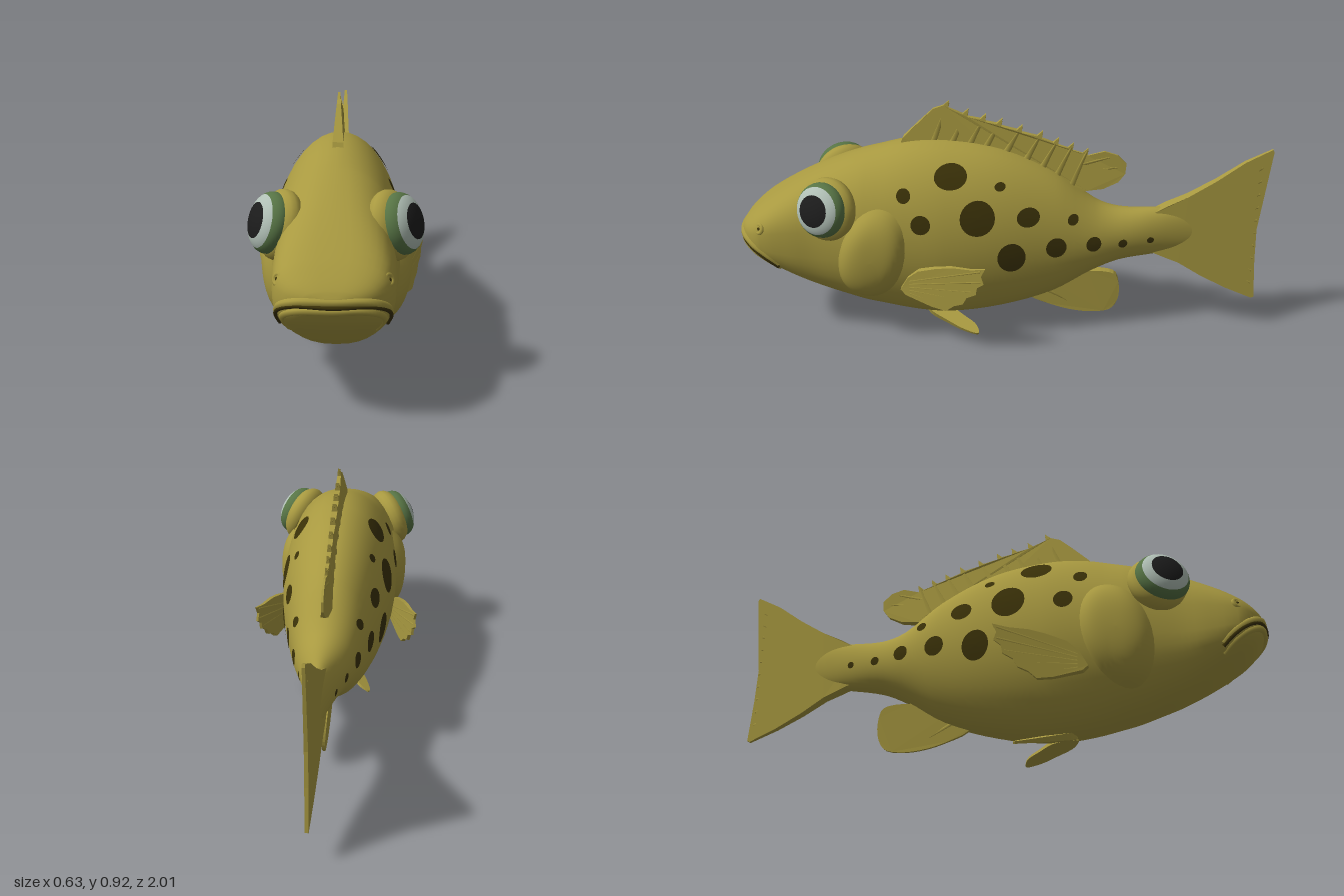
import * as THREE from 'three';

const mat = (name, color) => Object.assign(new THREE.MeshStandardMaterial({ color }), { name });
const V = (x, y, z) => new THREE.Vector3(x, y, z);
const lerp = THREE.MathUtils.lerp, clamp = THREE.MathUtils.clamp;

// Body stations from nose to tail: z, top y, bottom y, half width
const ST = [
  [1.0, .425, .395, .03], [.985, .45, .37, .095], [.95, .485, .33, .15], [.9, .525, .29, .182],
  [.8, .59, .225, .195], [.7, .645, .17, .198], [.6, .69, .13, .21], [.5, .725, .095, .225],
  [.35, .765, .06, .226], [.2, .772, .05, .222], [0, .74, .082, .196], [-.2, .65, .15, .152],
  [-.35, .535, .245, .113], [-.45, .505, .29, .083], [-.6, .51, .318, .045], [-.7, .5, .34, .024], [-.8, .45, .38, .006],
];
const slope = (i, k) => {
  const a = ST[Math.max(i - 1, 0)], b = ST[Math.min(i + 1, ST.length - 1)];
  return (b[k] - a[k]) / (b[0] - a[0]);
};
// Smooth cross-section at any z
function section(z) {
  z = clamp(z, -.8, 1);
  let i = 0;
  while (i < ST.length - 2 && z < ST[i + 1][0]) i++;
  const d = ST[i + 1][0] - ST[i][0], t = (z - ST[i][0]) / d, t2 = t * t, t3 = t2 * t;
  const [top, bot, w] = [1, 2, 3].map((k) => (2 * t3 - 3 * t2 + 1) * ST[i][k] + (t3 - 2 * t2 + t) * d * slope(i, k)
    + (3 * t2 - 2 * t3) * ST[i + 1][k] + (t3 - t2) * d * slope(i + 1, k));
  return { top, mid: (top + bot) / 2, h: (top - bot) / 2, w, n: lerp(2, 2.8, clamp((z - .45) / .4, 0, 1)) };
}
// Half width of the body skin, grown by `off`
function skinX(z, y, off = 0) {
  const s = section(z), q = Math.min(Math.abs(y - s.mid) / (s.h + off), 1);
  return (s.w + off) * Math.pow(1 - Math.pow(q, s.n), 1 / s.n);
}
function indexed(pos, idx) {
  const g = new THREE.BufferGeometry();
  g.setAttribute('position', new THREE.Float32BufferAttribute(pos, 3));
  g.setIndex(idx);
  g.computeVertexNormals();
  return g;
}
function bodyGeometry() {
  const N = 40, pos = [], idx = [], zs = [];
  for (let i = 0; i < ST.length - 1; i++) for (let j = 0; j < 4; j++) zs.push(lerp(ST[i][0], ST[i + 1][0], j / 4));
  zs.push(-.8);
  const pw = (v, n) => Math.sign(v) * Math.pow(Math.abs(v), 2 / n);
  zs.forEach((z, r) => {
    const s = section(z);
    for (let k = 0; k < N; k++) {
      const a = k / N * Math.PI * 2;
      pos.push(s.w * pw(Math.cos(a), s.n), s.mid + s.h * pw(Math.sin(a), s.n), z);
      const k2 = (k + 1) % N, A = r * N + k, B = r * N + k2;
      if (r < zs.length - 1) idx.push(A, A + N, B, B, A + N, B + N);
    }
  });
  const c = pos.length / 3, last = (zs.length - 1) * N;
  pos.push(0, .41, 1.002, 0, .415, -.8);
  for (let k = 0; k < N; k++) {
    const k2 = (k + 1) % N;
    idx.push(c, k, k2, c + 1, last + k2, last + k);
  }
  return indexed(pos, idx);
}
// Oval patch lying on the +x flank; lift(r) is its height above the skin
function patch(cz, cy, rz, ry, lift, shear = 0, rings = 3, N = 24) {
  const pos = [], idx = [];
  for (let r = 0; r <= rings; r++) for (let k = 0; k < N; k++) {
    const q = r / rings, a = k / N * Math.PI * 2, dy = Math.sin(a) * ry * q;
    const z = cz - Math.cos(a) * rz * q + shear * dy, y = cy + dy;
    pos.push(skinX(z, y, lift(q)), y, z);
    const A = r * N + k, B = r * N + (k + 1) % N;
    if (r < rings) idx.push(A, A + N, B, B, A + N, B + N);
  }
  return indexed(pos, idx);
}
// Thin blade from a (z, y) outline, with rules for half thickness and sideways offset
function blade(pts, half, offset = () => 0, smooth = false) {
  let v = pts.map((p) => new THREE.Vector2(p[0], p[1]));
  if (smooth) v = new THREE.CatmullRomCurve3(v.map((p) => V(p.x, p.y, 0)), true).getPoints(40).slice(0, -1).map((p) => new THREE.Vector2(p.x, p.y));
  const g = new THREE.ExtrudeGeometry(new THREE.Shape(v), { depth: 2, bevelEnabled: false });
  const p = g.attributes.position;
  for (let i = 0; i < p.count; i++) {
    const z = p.getX(i), y = p.getY(i);
    p.setXYZ(i, (1 - p.getZ(i)) * half(z, y) + offset(z, y), y, z);
  }
  g.computeVertexNormals();
  return g;
}
function rod(a, b, r0, r1) {
  const d = b.clone().sub(a), g = new THREE.CylinderGeometry(r1, r0, d.length(), 6);
  g.applyQuaternion(new THREE.Quaternion().setFromUnitVectors(V(0, 1, 0), d.normalize()));
  return g.translate((a.x + b.x) / 2, (a.y + b.y) / 2, (a.z + b.z) / 2);
}
function mirrored(geo) {
  const g = geo.clone().scale(-1, 1, 1);
  const idx = g.index ? Array.from(g.index.array) : Array.from({ length: g.attributes.position.count }, (_, i) => i);
  for (let i = 0; i < idx.length; i += 3) [idx[i], idx[i + 1]] = [idx[i + 1], idx[i]];
  g.setIndex(idx);
  return g;
}

export function createModel() {
  const root = new THREE.Group();
  root.name = 'fish';
  const olive = mat('olive skin', 0xa89940), dark = mat('dark spots', 0x3a3108);
  const white = mat('eye white', 0xb0bfb5), green = mat('eye green', 0x577445), black = mat('pupil black', 0x1c1c1c);
  const add = (name, geo, m) => {
    const mesh = new THREE.Mesh(geo, m);
    mesh.name = name;
    root.add(mesh);
  };
  const pair = (name, geo, m) => {
    add('left ' + name, geo, m);
    add('right ' + name, mirrored(geo), m);
  };

  add('body', bodyGeometry(), olive);

  // Flank spots: z, y, half length, half height
  [[.35, .617, .026, .026], [.18, .68, .06, .042], [.287, .515, .036, .036], [.08, .536, .064, .066], [0, .643, .02, .015],
    [-.105, .53, .042, .036], [-.27, .504, .02, .02], [-.045, .375, .052, .06], [-.21, .403, .038, .04], [-.35, .403, .028, .03],
    [-.46, .393, .017, .017], [-.565, .397, .013, .013]]
    .forEach((s) => pair('flank spot', patch(...s, () => .004), dark));

  // Gill cover
  pair('gill cover', patch(.475, .37, .125, .2, (q) => .034 * (1 - Math.pow(q, 5)) - .002, -.18, 10, 40), olive);

  // Mouth line and lips
  const mouth = (dy, out) => {
    const half = [[.975, .398], [.93, .372], [.88, .335], [.84, .298]].map(([z, y]) => V(skinX(z, y + dy, out), y + dy, z));
    const left = half.map((p) => V(-p.x, p.y, p.z)).reverse();
    return new THREE.CatmullRomCurve3([...left, V(0, .402 + dy, 1 + out), ...half]);
  };
  add('mouth line', new THREE.TubeGeometry(mouth(0, .003), 48, .007, 6), dark);
  add('upper lip', new THREE.TubeGeometry(mouth(.014, -.008), 48, .014, 8), olive);
  add('lower lip', new THREE.TubeGeometry(mouth(-.014, -.008), 48, .013, 8), olive);

  // Nostrils
  const nose = V(skinX(.9, .458) - .008, .458, .9);
  const noseTurn = new THREE.Quaternion().setFromUnitVectors(V(0, 0, 1), V(.72, .35, .6).normalize());
  pair('nostril rim', new THREE.TorusGeometry(.016, .008, 8, 16).applyQuaternion(noseTurn).translate(nose.x, nose.y, nose.z), olive);
  pair('nostril', new THREE.SphereGeometry(.009, 10, 8).translate(nose.x, nose.y, nose.z), dark);

  // Bulging eyes: socket, green ring, white ring, pupil
  const axis = V(.85, .28, .42).normalize(), eye = V(.213, .565, .648);
  const eyeTurn = new THREE.Quaternion().setFromUnitVectors(V(0, 1, 0), axis);
  const dome = (r, flat, from, to, sink) => {
    const c = eye.clone().addScaledVector(axis, -sink);
    return new THREE.SphereGeometry(r, 32, 12, 0, Math.PI * 2, from, to - from).scale(1, flat, 1).applyQuaternion(eyeTurn).translate(c.x, c.y, c.z);
  };
  pair('eye socket', dome(.118, .55, 0, Math.PI, .037), olive);
  pair('eye ring', dome(.102, .62, 1.04, 2.1, 0), green);
  pair('eye white', dome(.102, .62, .62, 1.04, 0), white);
  pair('pupil', dome(.102, .62, 0, .62, 0), black);

  // Dorsal fin: spiny saw edge, then a soft round lobe
  const tips = [[.195, .922], [.125, .89], [.06, .872], [0, .855], [-.075, .832], [-.15, .81], [-.21, .785], [-.265, .765], [-.32, .745]];
  const saw = tips.flatMap(([z, y]) => [[z + .022, y - .02], [z, y], [z + .003, y - .03]]);
  const dorsalHalf = (z, y) => clamp(.02 - (y - section(z).top) * .11, .004, .02);
  add('dorsal fin', blade([[.385, .74], [.37, .775], [.3, .845], [.255, .888], ...saw, [-.38, .733], [-.43, .718], [-.463, .685],
    [-.46, .645], [-.435, .612], [-.38, .585], [-.32, .578], [-.27, .57], [-.2, .6], [0, .69], [.2, .73]], dorsalHalf), olive);
  tips.forEach(([z, y]) => {
    const b = z + .06;
    add('dorsal spine', rod(V(0, section(b).top - .01, b), V(0, y - .01, z + .004), .021, .005), olive);
  });
  [[-.2, -.4, .71], [-.22, -.43, .67], [-.24, -.42, .63]].forEach(([b, z, y]) =>
    add('dorsal ray', rod(V(0, section(b).top, b), V(0, y, z), .014, .005), olive));

  // Tail fin with fanned rays
  const tailHalf = (z) => lerp(.026, .005, clamp((-.6 - z) / .4, 0, 1));
  add('tail fin', blade([[-.55, .48], [-.62, .522], [-.7, .563], [-.8, .628], [-.9, .703], [-.995, .755], [-1, .745], [-.985, .6],
    [-.967, .43], [-.972, .3], [-.985, .135], [-.975, .13], [-.87, .175], [-.77, .228], [-.68, .285], [-.62, .31], [-.55, .34]], tailHalf), olive);
  for (let i = 0; i < 10; i++) {
    const t = (i + .5) / 10;
    add('tail ray', rod(V(0, lerp(.35, .49, t), -.64), V(0, lerp(.17, .71, t), -.965), .023, .008), olive);
  }

  // Anal fin
  add('anal fin', blade([[-.08, .16], [-.11, .11], [-.19, .075], [-.27, .053], [-.36, .046], [-.43, .062], [-.457, .11], [-.457, .18],
    [-.44, .222], [-.39, .235], [-.32, .235], [-.26, .25], [-.16, .2]], (z, y) => clamp(.006 + (y - .1) * .07, .005, .016), undefined, true), olive);
  for (let i = 0; i < 5; i++)
    add('anal ray', rod(V(0, .15 + i * .017, -.16 - i * .035), V(0, .075 + i * .03, -.3 - i * .034), .012, .006), olive);

  // Pectoral fins, swept out and back
  const sweep = (z) => .212 + (.35 - z) * .33;
  pair('pectoral fin', blade([[.37, .245], [.34, .3], [.3, .335], [.23, .36], [.17, .375], [.1, .38], [.045, .392], [.06, .36], [.05, .33],
    [.075, .31], [.08, .28], [.115, .26], [.13, .23], [.165, .215], [.195, .188], [.25, .195], [.3, .21], [.35, .225]],
  (z) => lerp(.004, .014, clamp((z - .05) / .3, 0, 1)), sweep), olive);
  [[.06, .38], [.06, .337], [.085, .29], [.125, .247], [.18, .205]].forEach(([z, y], i) =>
    pair('pectoral ray', rod(V(sweep(.33), .285 - i * .013, .33), V(sweep(z), y, z), .014, .006), olive));

  // Pelvic fins, splayed under the belly
  pair('pelvic fin', blade([[.02, -.01], [0, .025], [-.07, .07], [-.14, .108], [-.195, .122], [-.185, .085], [-.13, .04], [-.07, 0]],
    (z) => lerp(.004, .013, clamp((z + .2) / .2, 0, 1)), undefined, true).rotateZ(-2.0).translate(.024, .058, .28), olive);

  return root;
}
